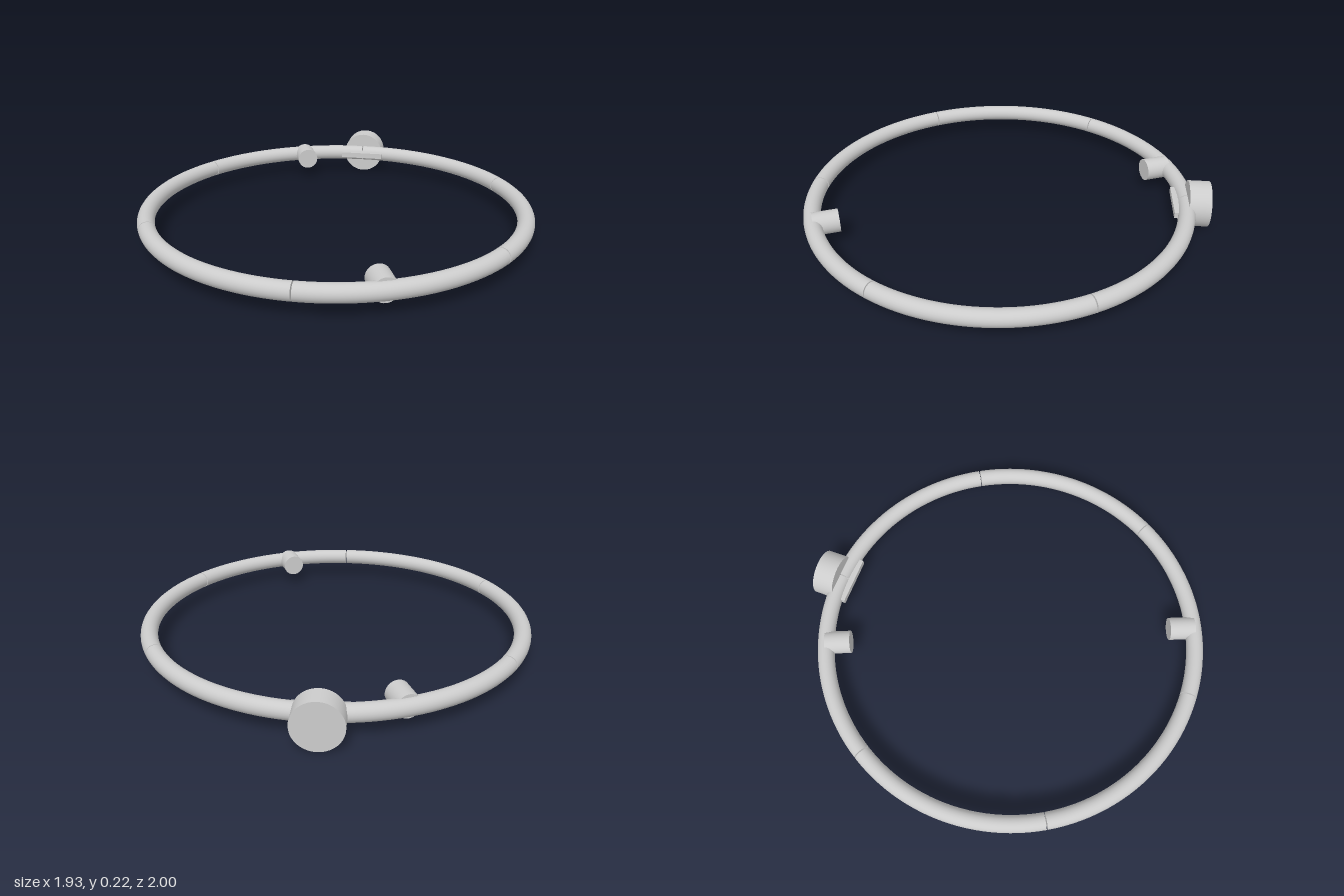
import * as THREE from 'three';

const RING_R = 0.925, TUBE_R = 0.041, Y = 0.1125, CZ = 0.034;
const SECTIONS = 6, GAP = 0.006;

export function createModel() {
  const model = new THREE.Group();
  const mat = new THREE.MeshStandardMaterial({ color: 0xcccccc });
  const add = (name, geo, parent = model) => {
    const mesh = new THREE.Mesh(geo, mat);
    mesh.name = name;
    parent.add(mesh);
    return mesh;
  };

  // Hoop of six capped tube sections with hairline seams
  const hoop = new THREE.Group();
  hoop.name = 'hoop';
  hoop.position.set(0, Y, CZ);
  hoop.rotation.x = Math.PI / 2;
  model.add(hoop);
  const step = (Math.PI * 2) / SECTIONS, arc = step - GAP;
  for (let i = 0; i < SECTIONS; i++) {
    const section = new THREE.Group();
    section.name = 'hoopSection';
    section.rotation.z = Math.PI / 6 + i * step + GAP / 2;
    hoop.add(section);
    add('tube', new THREE.TorusGeometry(RING_R, TUBE_R, 24, 24, arc), section);
    const startCap = new THREE.CircleGeometry(TUBE_R, 24)
      .rotateX(Math.PI / 2).translate(RING_R, 0, 0);
    const endCap = new THREE.CircleGeometry(TUBE_R, 24)
      .rotateX(-Math.PI / 2).translate(RING_R, 0, 0).rotateZ(arc);
    add('startCap', startCap, section);
    add('endCap', endCap, section);
  }

  // Two opposite pegs pointing inwards from the tube centreline
  const inner = 0.8, angle = Math.PI / 8;
  for (const side of [1, -1]) {
    const pivot = new THREE.Group();
    pivot.name = side > 0 ? 'frontPeg' : 'backPeg';
    pivot.position.set(0, Y, CZ);
    pivot.rotation.y = angle + (side > 0 ? 0 : Math.PI);
    model.add(pivot);
    const peg = new THREE.CylinderGeometry(0.056, 0.056, RING_R - inner, 32)
      .rotateX(Math.PI / 2).translate(0, 0, (RING_R + inner) / 2);
    add('peg', peg, pivot);
  }

  // Round knob at the back
  add('backKnob', new THREE.CylinderGeometry(0.1125, 0.1125, 0.105, 40).rotateX(Math.PI / 2))
    .position.set(0, Y, -0.9475);

  // Thin plate on the inside of the hoop by the knob
  add('innerPlate', new THREE.BoxGeometry(0.24, 0.03, 0.08)).position.set(0, Y, -0.865);

  return model;
}
